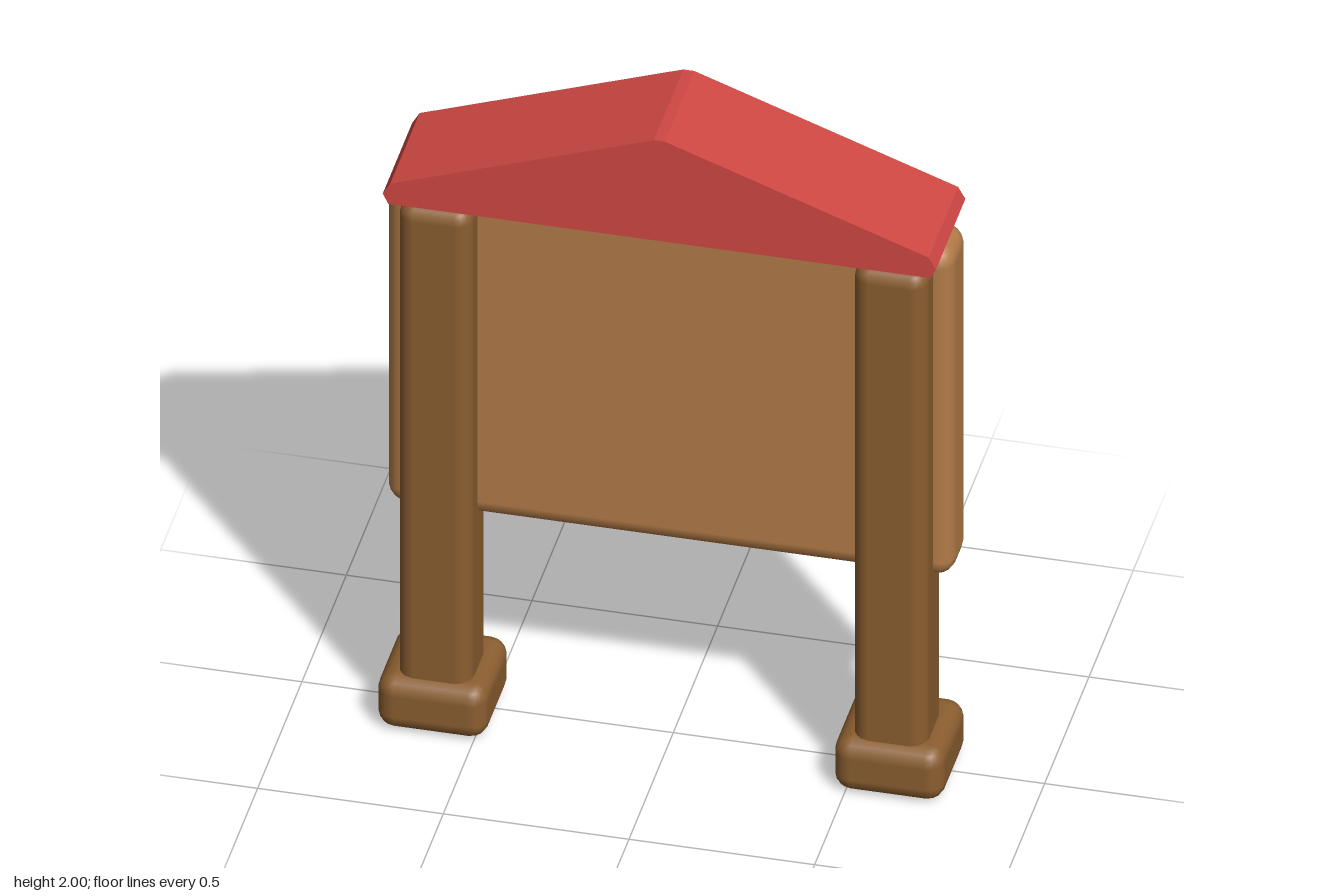
import * as THREE from 'three';
import { RoundedBoxGeometry } from 'three/addons/geometries/RoundedBoxGeometry.js';

const material = (name, color) => {
  const m = new THREE.MeshStandardMaterial({ color });
  m.name = name;
  return m;
};

export function createModel() {
  const group = new THREE.Group();
  const boardWood = material('board wood', 0xb37b47);
  const postWood = material('post wood', 0x8b5e30);
  const roofRed = material('roof red', 0xd04844);
  const paper = material('notice cream', 0xdbd1bd);

  const add = (name, geometry, mat, x, y, z) => {
    const mesh = new THREE.Mesh(geometry, mat);
    mesh.name = name;
    mesh.position.set(x, y, z);
    group.add(mesh);
  };

  // Main board with softened edges
  add('board', new RoundedBoxGeometry(1.53, 1.05, 0.18, 2, 0.055), boardWood, 0, 1.165, -0.032);

  // Notice panel on the back of the board
  add('noticePanel', new THREE.BoxGeometry(1.28, 0.825, 0.06), paper, 0, 1.167, -0.135);

  // Posts and their feet, mirrored
  for (const [side, s] of [['left', 1], ['right', -1]]) {
    add(side + 'Post', new RoundedBoxGeometry(0.2, 1.605, 0.196, 2, 0.045), postWood, s * 0.613, 0.8625, 0.043);
    add(side + 'Foot', new RoundedBoxGeometry(0.298, 0.165, 0.296, 2, 0.05), postWood, s * 0.615, 0.0825, 0.026);
  }

  // Solid gable roof with clipped eaves
  const half = [[0.73, 1.68], [0.745, 1.71], [0.725, 1.745], [0.015, 2]];
  const outline = [...half, ...half.map(([x, y]) => [-x, y]).reverse()];
  const shape = new THREE.Shape(outline.map(([x, y]) => new THREE.Vector2(x, y)));
  const roof = new THREE.ExtrudeGeometry(shape, { depth: 0.332, bevelEnabled: false });
  add('roof', roof, roofRed, 0, 0, -0.175);

  return group;
}
